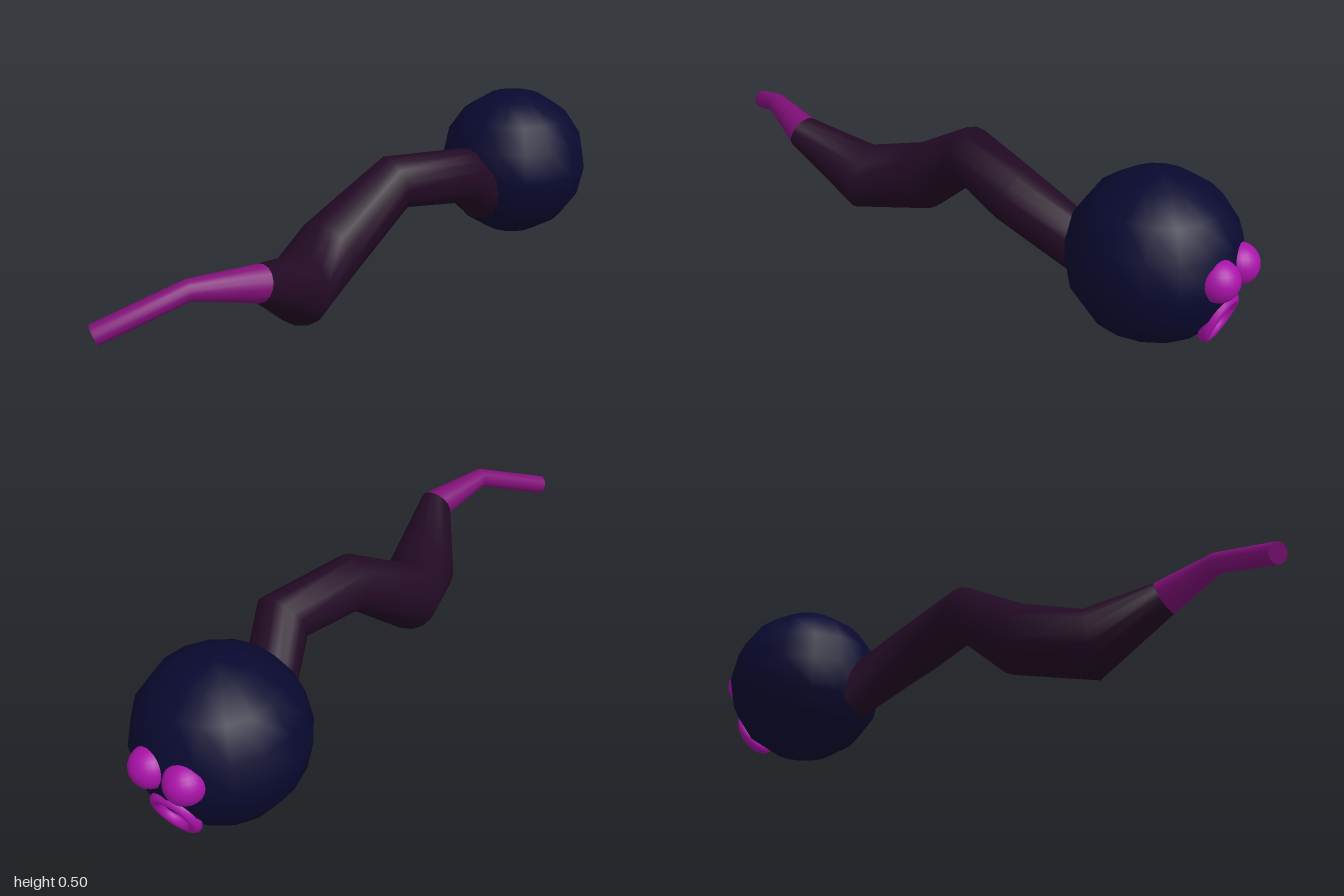
import * as THREE from 'three';

const SIDES = 16;

// tail joints from head to tip: x, y, z, radius
const JOINTS = [
  [0.0, 0.17, -0.54, 0.08],
  [0.088, 0.338, -0.305, 0.088],
  [0.0, 0.36, -0.075, 0.087],
  [-0.065, 0.19, 0.155, 0.108],
  [0.0, 0.147, 0.365, 0.108],
  [0.068, 0.272, 0.575, 0.055],
  [0.0, 0.302, 0.767, 0.031],
  [-0.135, 0.207, 0.983, 0.031],
];

// one mitred ring of points for every joint
function makeRings() {
  const pts = JOINTS.map(([x, y, z]) => new THREE.Vector3(x, y, z));
  const dirs = pts.slice(1).map((p, i) => p.clone().sub(pts[i]).normalize());
  return pts.map((p, i) => {
    const t = dirs[Math.max(i - 1, 0)].clone().add(dirs[Math.min(i, dirs.length - 1)]).normalize();
    const u = new THREE.Vector3(0, 1, 0).cross(t).normalize();
    const v = t.clone().cross(u);
    return Array.from({ length: SIDES }, (_, j) => {
      const a = (j / SIDES) * Math.PI * 2;
      return p.clone()
        .addScaledVector(u, Math.cos(a) * JOINTS[i][3])
        .addScaledVector(v, Math.sin(a) * JOINTS[i][3]);
    });
  });
}

// smooth skin stretched over consecutive rings
function skin(rings) {
  const index = [];
  for (let i = 0; i < rings.length - 1; i++) {
    for (let j = 0; j < SIDES; j++) {
      const k = (j + 1) % SIDES;
      const a = i * SIDES + j, b = i * SIDES + k;
      index.push(a, b, a + SIDES, b, b + SIDES, a + SIDES);
    }
  }
  const geo = new THREE.BufferGeometry().setFromPoints(rings.flat());
  geo.setIndex(index);
  geo.computeVertexNormals();
  return geo;
}

// flat disc closing a ring
function cap(ring) {
  const index = [];
  for (let j = 1; j < SIDES - 1; j++) index.push(0, j, j + 1);
  const geo = new THREE.BufferGeometry().setFromPoints(ring);
  geo.setIndex(index);
  geo.computeVertexNormals();
  return geo;
}

export function createModel() {
  const model = new THREE.Group();
  const headMat = new THREE.MeshStandardMaterial({ color: 0x090930 });
  const tailMat = new THREE.MeshStandardMaterial({ color: 0x220a24 });
  const tipMat = new THREE.MeshStandardMaterial({ color: 0x800f78 });
  const faceMat = new THREE.MeshStandardMaterial({ color: 0xa812a8 });

  const add = (name, geo, mat, x = 0, y = 0, z = 0) => {
    const mesh = new THREE.Mesh(geo, mat);
    mesh.name = name;
    mesh.position.set(x, y, z);
    model.add(mesh);
    return mesh;
  };

  // round head
  add('head', new THREE.SphereGeometry(0.252, 16, 8), headMat, 0, 0.254, -0.717);

  // kinked tail with a thin tip
  const rings = makeRings();
  add('tail', skin(rings.slice(0, 6)), tailMat);
  add('tailTip', skin(rings.slice(5)), tipMat);
  add('tailEnd', cap(rings[rings.length - 1]), tipMat);

  // bulging eyes
  for (const [name, side] of [['leftEye', 1], ['rightEye', -1]]) {
    add(name, new THREE.SphereGeometry(0.06, 20, 14), faceMat, side * 0.057, 0.28, -0.94);
  }

  // open ring mouth, facing slightly down
  const mouth = add('mouth', new THREE.TorusGeometry(0.064, 0.017, 12, 28), faceMat, 0, 0.13, -0.928);
  mouth.rotation.x = -0.33;

  return model;
}
